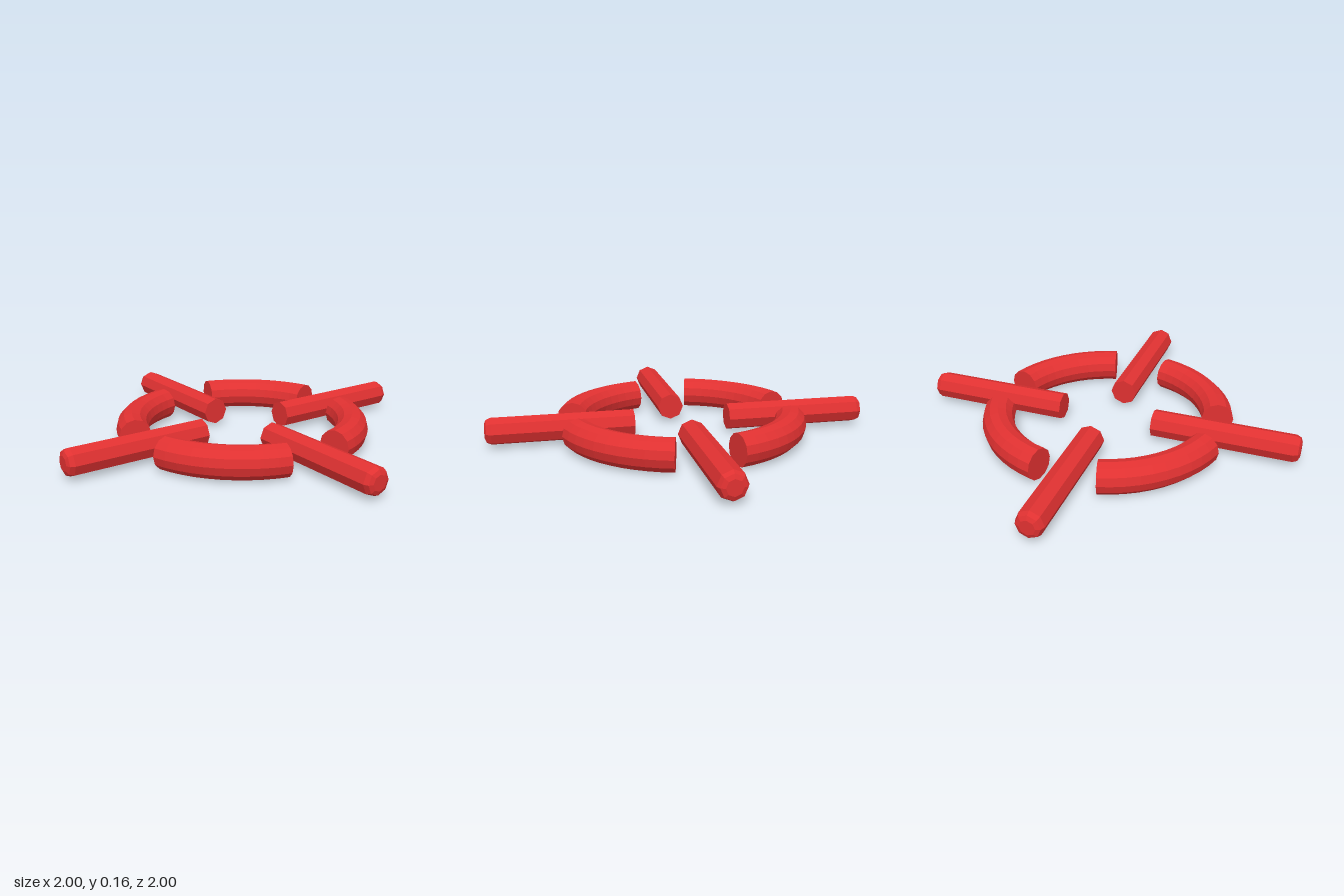
import * as THREE from 'three';
import { mergeGeometries } from 'three/addons/utils/BufferGeometryUtils.js';

const RING_RADIUS = 0.57, TUBE = 0.082, HEIGHT = 0.083, ARC = Math.PI / 3;

// Faceted normals
function faceted(geometry) {
  const g = geometry.toNonIndexed();
  g.computeVertexNormals();
  return g;
}

// Octagonal bar along +z with a rounded outer tip
function barGeometry() {
  const profile = [[0, 0.25], [0.07, 0.25], [0.07, 0.968], [0.06, 0.991], [0.039, 1], [0, 1]];
  const points = profile.map(([r, y]) => new THREE.Vector2(r, y));
  return faceted(new THREE.LatheGeometry(points, 8).rotateX(Math.PI / 2));
}

// Sixty-degree ring section with flat end caps
function arcGeometry() {
  const tube = new THREE.TorusGeometry(RING_RADIUS, TUBE, 12, 10, ARC);
  const startCap = new THREE.CircleGeometry(TUBE, 12)
    .rotateX(Math.PI / 2).translate(RING_RADIUS, 0, 0);
  const endCap = new THREE.CircleGeometry(TUBE, 12)
    .rotateX(-Math.PI / 2).translate(RING_RADIUS, 0, 0).rotateZ(ARC);
  const section = mergeGeometries([tube, startCap, endCap]);
  return faceted(section.rotateZ(Math.PI / 12).rotateX(Math.PI / 2));
}

export function createModel() {
  const model = new THREE.Group();
  model.name = 'crosshair';
  const red = new THREE.MeshStandardMaterial({ color: 0xe03131 });
  red.name = 'red';

  const bar = barGeometry();
  const arc = arcGeometry();

  // One bar and one ring section per quarter turn
  for (let i = 0; i < 4; i++) {
    for (const [name, geometry] of [['bar', bar], ['ringSection', arc]]) {
      const mesh = new THREE.Mesh(geometry, red);
      mesh.name = `${name}${i + 1}`;
      mesh.position.y = HEIGHT;
      mesh.rotation.y = i * Math.PI / 2;
      model.add(mesh);
    }
  }
  return model;
}
